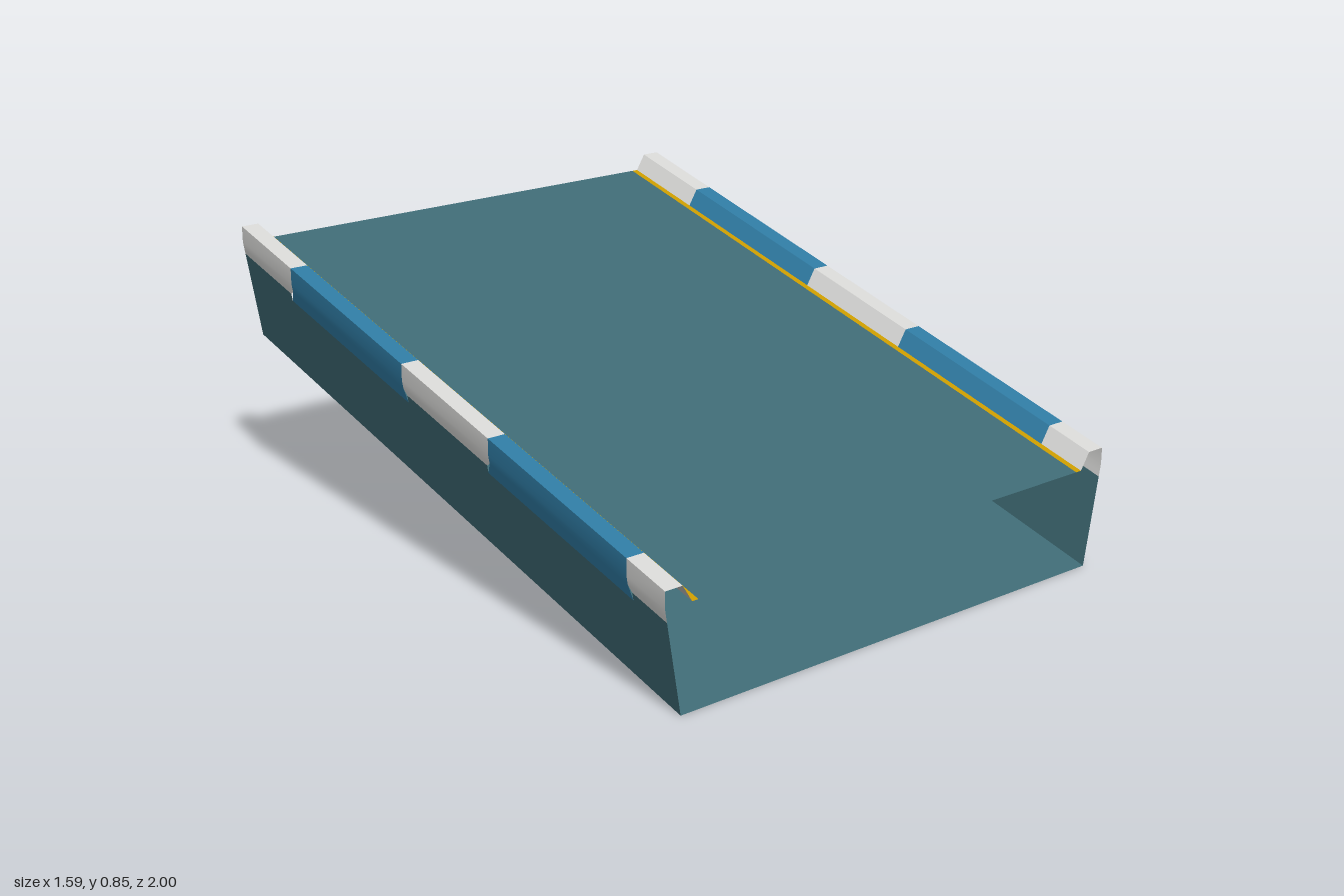
import * as THREE from 'three';
import { toCreasedNormals } from 'three/addons/utils/BufferGeometryUtils.js';

const mat = (name, color) => {
  const m = new THREE.MeshStandardMaterial({ color, side: THREE.DoubleSide });
  m.name = name;
  return m;
};

// Height gained towards the back, per unit of z
const SLOPE = 0.25;

// Sheet swept from front to back; each profile point is [x, y, zFront, zBack]
function sheet(profile, side = 1) {
  const pos = [], index = [];
  for (const [x, y, z0, z1] of profile) {
    for (const z of [z0, z1]) pos.push(x * side, y + SLOPE * (1 - z), z);
  }
  for (let j = 0; j < profile.length - 1; j++) {
    const a = 2 * j, b = a + 1, c = a + 2, d = a + 3;
    if (side > 0) index.push(a, b, c, b, d, c);
    else index.push(a, c, b, b, c, d);
  }
  const geo = new THREE.BufferGeometry();
  geo.setAttribute('position', new THREE.Float32BufferAttribute(pos, 3));
  geo.setIndex(index);
  return toCreasedNormals(geo, 0.7);
}

export function createModel() {
  const group = new THREE.Group();
  const teal = mat('teal', 0x3f6b75);
  const white = mat('white', 0xd8d8d6);
  const blue = mat('blue', 0x2f7ba3);
  const yellow = mat('yellow', 0xcc9c00);

  const add = (name, geo, material) => {
    const mesh = new THREE.Mesh(geo, material);
    mesh.name = name;
    group.add(mesh);
  };
  const full = (pts) => pts.map(([x, y]) => [x, y, 1, -1]);

  // Road deck and underside, open at both ends
  add('deck', sheet(full([[0.69, 0.298], [-0.69, 0.298]])), teal);
  add('underside', sheet(full([[-0.745, 0], [0.745, 0]])), teal);

  // Kerb outline from the outer wall over the top to the deck
  const wallX = (y) => 0.745 + (0.05 * y) / 0.3;
  const kerb = [[wallX(0.275), 0.275], [0.795, 0.3], [0.795, 0.347], [0.74, 0.347], [0.71, 0.298]];
  const cuts = [1, 0.85, 0.265, -0.143, -0.722, -1];

  for (const side of [1, -1]) {
    const label = side > 0 ? 'left' : 'right';
    add(label + 'Wall', sheet(full([[0.745, 0], [wallX(0.24), 0.24]]), side), teal);
    add(label + 'EdgeLine', sheet(full([[0.71, 0.298], [0.69, 0.298]]), side), yellow);

    // Alternating kerb blocks; the white ones have clipped lower corners
    for (let i = 0; i < 5; i++) {
      const isWhite = i % 2 === 0;
      const z0 = cuts[i], z1 = cuts[i + 1];
      const clip = isWhite ? 0.015 : -0.015;
      const f = z0 === 1 ? 1 : z0 - clip;
      const b = z1 === -1 ? -1 : z1 + clip;
      const low = isWhite ? 0.262 : 0.24;
      const rows = [[wallX(low), low, f, b], ...kerb.map(([x, y]) => [x, y, z0, z1])];
      add(label + 'KerbBlock', sheet(rows, side), isWhite ? white : blue);
      if (isWhite) {
        add(label + 'WallStrip', sheet([[wallX(0.24), 0.24, f, b], [wallX(low), low, f, b]], side), teal);
      }
    }
  }
  return group;
}
